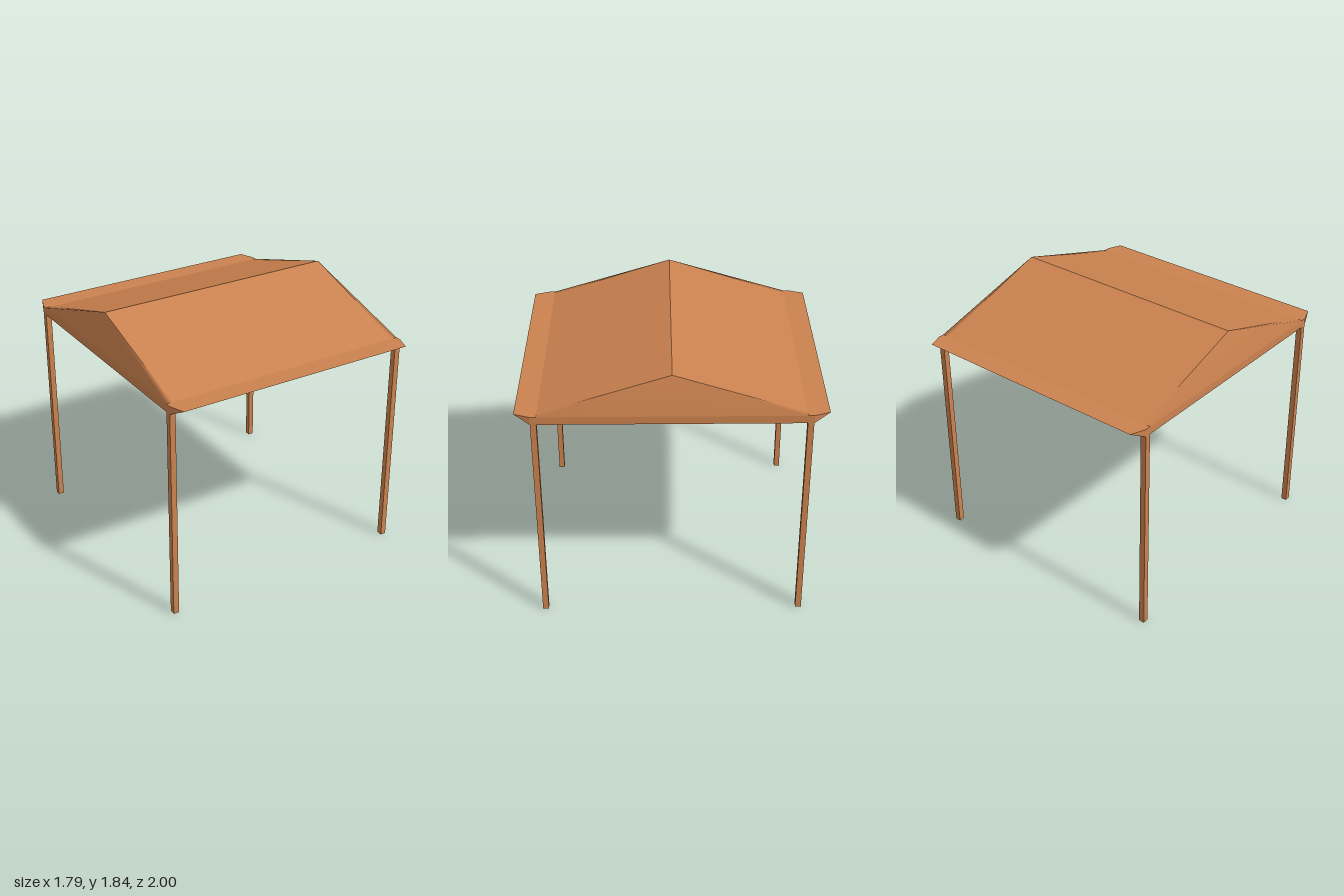
import * as THREE from 'three';
import { ConvexGeometry } from 'three/addons/geometries/ConvexGeometry.js';

const OUT = 0.895;   // outer face of the posts and beams
const IN = 0.855;    // inner face of the posts, end of the ridge
const BEAM = 1.505, EAVE = 1.56, RIDGE = 1.835;

export function createModel() {
  const group = new THREE.Group();
  const flat = new THREE.MeshStandardMaterial({ color: 0xcb824f, flatShading: true, side: THREE.DoubleSide });
  const smooth = new THREE.MeshStandardMaterial({ color: 0xcb824f, side: THREE.DoubleSide });

  const add = (name, geometry, material = flat) => {
    const mesh = new THREE.Mesh(geometry, material);
    mesh.name = name;
    group.add(mesh);
    return mesh;
  };
  const surface = (points, index) => {
    const g = new THREE.BufferGeometry();
    g.setAttribute('position', new THREE.Float32BufferAttribute(points.flat(), 3));
    g.setIndex(index);
    g.computeVertexNormals();
    return g;
  };

  // Four square posts
  const postGeometry = new THREE.BoxGeometry(OUT - IN, BEAM, OUT - IN);
  for (const x of [-1, 1]) for (const z of [-1, 1]) {
    add('post', postGeometry).position.set(x * (OUT + IN) / 2, BEAM / 2, z * (OUT + IN) / 2);
  }

  // Ceiling slab whose front and back flare out into tapered eaves
  const corners = [];
  for (const x of [-1, 1]) for (const z of [-1, 1]) {
    corners.push(
      new THREE.Vector3(x * OUT, BEAM, z * OUT),
      new THREE.Vector3(x * OUT, EAVE, z * OUT),
      new THREE.Vector3(x * IN, EAVE, z * 1.0));
  }
  add('ceilingSlab', new ConvexGeometry(corners));

  // Two roof slopes meeting at the ridge
  for (const z of [-1, 1]) {
    const slope = surface(
      [[-IN, EAVE, z * IN], [IN, EAVE, z * IN], [IN, RIDGE, 0], [-IN, RIDGE, 0]],
      z > 0 ? [0, 1, 2, 0, 2, 3] : [0, 2, 1, 0, 3, 2]);
    add(z > 0 ? 'frontRoofSlope' : 'backRoofSlope', slope);
  }

  // Gable ends lean out from the ridge to the beam and wrap softly onto the slopes
  for (const x of [-1, 1]) {
    const faces = [0, 1, 2, 0, 3, 1, 0, 2, 4];
    const gable = surface(
      [[x * IN, RIDGE, 0], [x * OUT, EAVE, IN], [x * OUT, EAVE, -IN], [x * IN, EAVE, IN], [x * IN, EAVE, -IN]],
      x > 0 ? faces : faces.reverse());
    add(x > 0 ? 'leftGable' : 'rightGable', gable, smooth);
  }
  return group;
}
